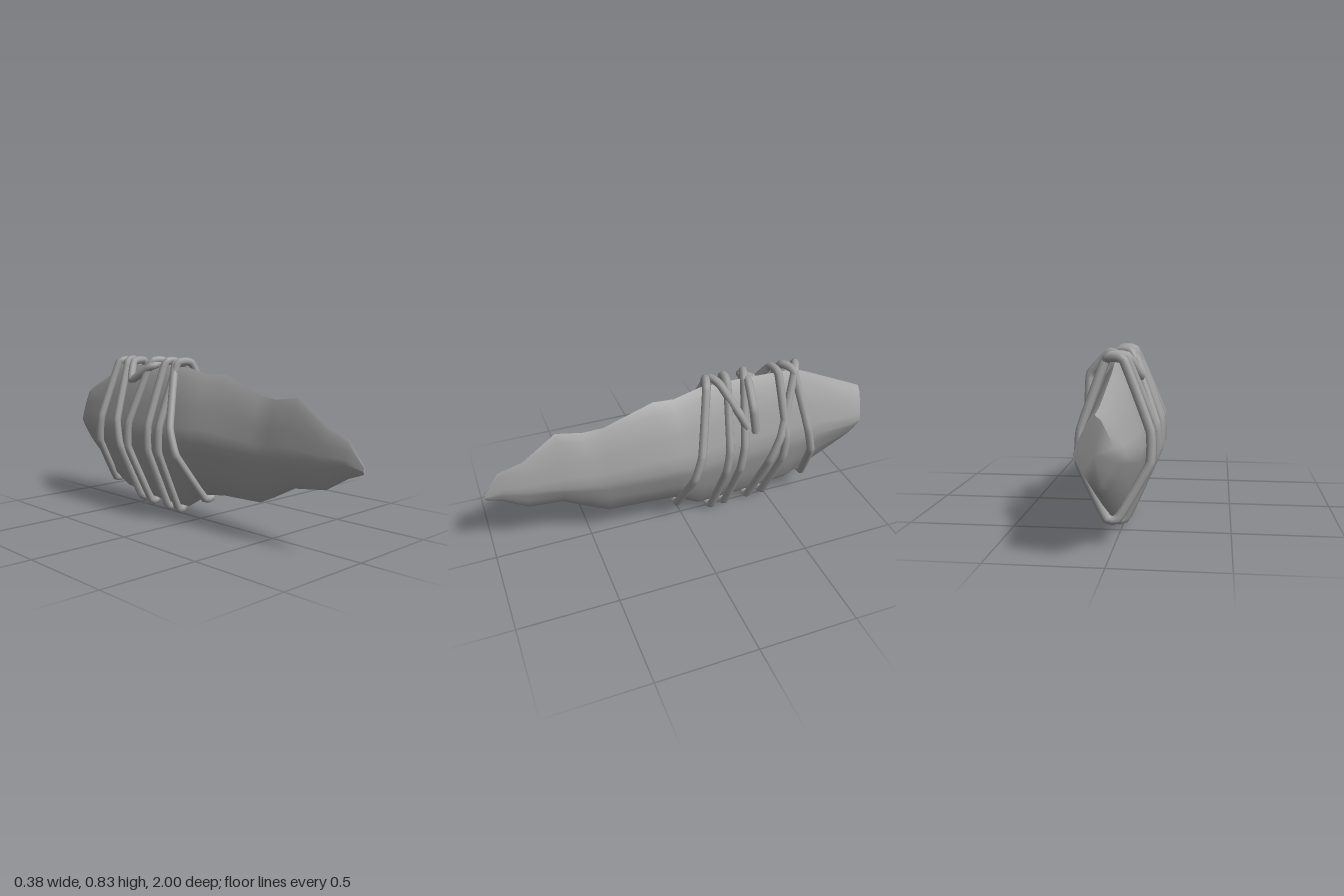
import * as THREE from 'three';
import { toCreasedNormals } from 'three/addons/utils/BufferGeometryUtils.js';

// Blade stations, tip to butt: z, top y, bottom y, widest y, left x (-), right x (+), spine x
const STATIONS = [
  [1.0, 0.42, 0.385, 0.40, -0.006, 0.006, 0],
  [0.92, 0.525, 0.355, 0.42, -0.028, 0.025, 0],
  [0.8, 0.56, 0.285, 0.41, -0.03, 0.05, 0.005],
  [0.63, 0.68, 0.265, 0.41, -0.065, 0.085, 0],
  [0.5, 0.66, 0.2, 0.4, -0.068, 0.1, 0.01],
  [0.4, 0.67, 0.155, 0.4, -0.07, 0.112, 0.02],
  [0.15, 0.76, 0.145, 0.42, -0.118, 0.158, 0.025],
  [0.04, 0.75, 0.13, 0.42, -0.13, 0.157, 0.02],
  [-0.1, 0.78, 0.045, 0.41, -0.13, 0.145, 0.01],
  [-0.32, 0.78, 0.05, 0.41, -0.128, 0.135, 0.005],
  [-0.62, 0.775, 0.08, 0.42, -0.125, 0.132, 0.01],
  [-0.7, 0.74, 0.12, 0.42, -0.12, 0.132, 0.01],
  [-0.94, 0.635, 0.28, 0.44, -0.08, 0.13, 0.025],
  [-1.0, 0.61, 0.31, 0.45, -0.045, 0.125, 0.035],
];

// Quarter outline from spine to widest point: [share of width, share of height]
const QUARTER = [[0, 1], [0.3, 0.86], [0.64, 0.5], [0.88, 0.2], [1, 0]];

function stationAt(z) {
  let i = 0;
  while (i < STATIONS.length - 2 && STATIONS[i + 1][0] > z) i++;
  const a = STATIONS[i], b = STATIONS[i + 1];
  const t = THREE.MathUtils.clamp((a[0] - z) / (a[0] - b[0]), 0, 1);
  return a.map((v, k) => THREE.MathUtils.lerp(v, b[k], t));
}

// Counterclockwise ring seen from the tip
function ring([z, top, bot, mid, xl, xr, cx], last) {
  const pts = [];
  const quarter = (x, y, reverse) => {
    const q = reverse ? [...QUARTER].reverse() : QUARTER;
    for (const [w, h] of q.slice(0, -1)) {
      pts.push([cx + (x - cx) * w, mid + (y - mid) * h]);
    }
  };
  quarter(xr, top, true);
  quarter(xl, top, false);
  quarter(xl, bot, true);
  quarter(xr, bot, false);
  // the butt is cut slightly slanted
  return pts.map(([x, y]) => [x, y, last ? z + 0.1 * (top - y) : z]);
}

function bladeGeometry() {
  const rings = STATIONS.map((s, i) => ring(s, i === STATIONS.length - 1));
  const n = rings[0].length, pos = rings.flat(2), index = [];
  for (let i = 0; i < rings.length - 1; i++) {
    for (let j = 0; j < n; j++) {
      const a = i * n + j, b = i * n + (j + 1) % n;
      index.push(a, a + n, b, b, a + n, b + n);
    }
  }
  // end caps
  const tip = pos.length / 3, end = (rings.length - 1) * n;
  pos.push(0, 0.4, 1, 0.04, 0.45, -0.99);
  for (let j = 0; j < n; j++) {
    const k = (j + 1) % n;
    index.push(tip, j, k, tip + 1, end + k, end + j);
  }
  const g = new THREE.BufferGeometry();
  g.setAttribute('position', new THREE.Float32BufferAttribute(pos, 3));
  g.setIndex(index);
  return toCreasedNormals(g, 1.0);
}

// Cord stops in order: T top, L left of picture (-x), B bottom, R (+x), each with its z
const STOPS = [
  ['T', -0.19], ['L', -0.03], ['B', 0.05], ['R', -0.03],
  ['T', -0.14], ['L', -0.15], ['B', -0.16], ['R', -0.2],
  ['T', -0.235], ['L', -0.24], ['B', -0.24], ['R', -0.28],
  ['T', -0.33], ['L', -0.42], ['B', -0.37], ['R', -0.46],
  ['T', -0.63], ['L', -0.66], ['B', -0.72], ['R', -0.67],
  ['T', -0.57], ['L', -0.49], ['B', -0.46], ['R', -0.53],
  ['T', -0.5],
];

function cordPath() {
  const V = (x, y, z) => new THREE.Vector3(x, y, z);
  const pts = [V(0.135, 0.57, -0.31), V(0.12, 0.65, -0.27)];
  STOPS.forEach(([side, z], i) => {
    const before = STOPS[Math.max(i - 1, 0)][1];
    const after = STOPS[Math.min(i + 1, STOPS.length - 1)][1];
    const [, top, bot, mid, xl, xr, cx] = stationAt(z);
    // two points per stop, so every turn is a blunt corner
    for (const d of [-1, 1]) {
      const zz = z + (d < 0 ? before - z : after - z) * 0.2;
      if (side === 'T') pts.push(V(cx - d * 0.04, top + 0.018, zz));
      if (side === 'B') pts.push(V(cx + d * 0.025, bot - 0.015, zz));
      if (side === 'L') pts.push(V(xl - 0.024, mid - d * 0.07, zz));
      if (side === 'R') pts.push(V(xr + 0.022, mid + d * 0.07, zz));
    }
  });
  // loose end hanging over the right shoulder
  pts.push(V(-0.09, 0.70, -0.45), V(-0.05, 0.775, -0.34), V(0.07, 0.80, -0.33), V(0.165, 0.70, -0.32), V(0.17, 0.56, -0.34));
  return new THREE.CatmullRomCurve3(pts, false, 'catmullrom', 0.15);
}

export function createModel() {
  const model = new THREE.Group();
  const stone = new THREE.MeshStandardMaterial({ color: 0xa0a0a0 });
  stone.name = 'grey stone';

  const add = (name, geometry) => {
    const mesh = new THREE.Mesh(geometry, stone);
    mesh.name = name;
    model.add(mesh);
    return mesh;
  };

  add('blade', bladeGeometry());

  const path = cordPath(), radius = 0.021;
  add('cordWrap', new THREE.TubeGeometry(path, 480, radius, 8, false));

  // flat cut ends of the cord
  for (const t of [0, 1]) {
    const cap = add('cordEnd', new THREE.CircleGeometry(radius, 8));
    const p = path.getPointAt(t), dir = path.getTangentAt(t).multiplyScalar(t ? 1 : -1);
    cap.position.copy(p);
    cap.lookAt(p.clone().add(dir));
  }
  return model;
}
